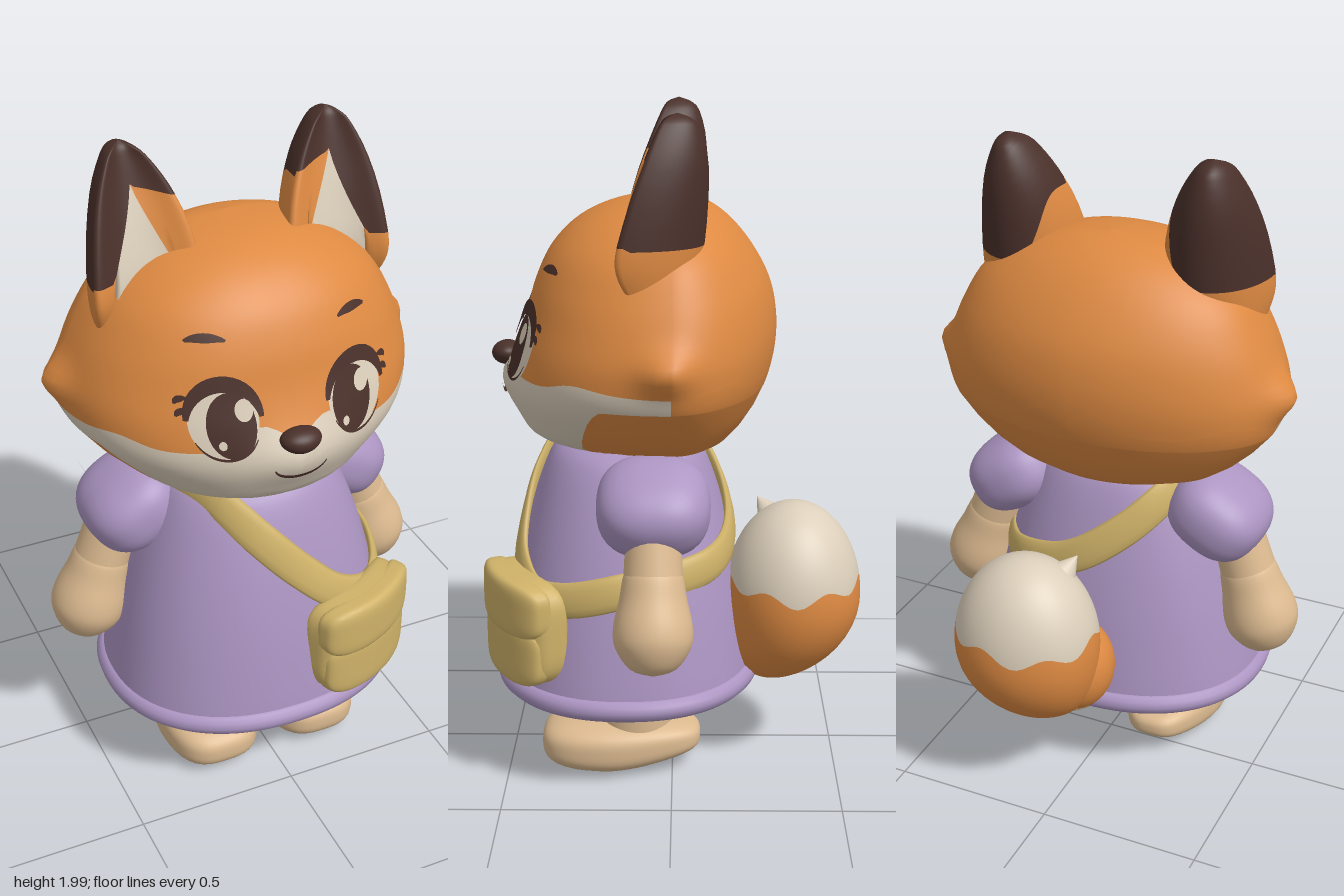
import * as THREE from 'three';

const V = (x, y, z) => new THREE.Vector3(x, y, z);
const smooth = THREE.MathUtils.smoothstep;
const power = (v, e) => Math.sign(v) * Math.abs(v) ** e;
const paint = (name, color, side = THREE.FrontSide) => {
  const m = new THREE.MeshStandardMaterial({ color, side });
  m.name = name;
  return m;
};

// Smooth profile through rows of [y, a, b, c, d]; at(t) gives the values, t(y) the parameter.
function profile(rows) {
  const curve = (i, j) => new THREE.CatmullRomCurve3(rows.map(r => V(r[i] || 0, r[0], r[j] || 0)), false, 'catmullrom', 0.5);
  const c1 = curve(1, 2), c2 = curve(3, 4);
  return {
    at(t) {
      const p = c1.getPoint(t), q = c2.getPoint(t);
      return [p.y, p.x, p.z, q.x, q.z];
    },
    t(y) {
      let lo = 0, hi = 1;
      for (let i = 0; i < 26; i++) {
        const m = (lo + hi) / 2;
        if (c1.getPoint(m).y < y) lo = m; else hi = m;
      }
      return lo;
    },
  };
}

// Surface wrapped around u, split into colour bands whose borders may vary with u.
function banded(name, nu, counts, limits, point, mats, pick = () => 0) {
  const pos = [], lists = mats.map(() => []), bandOf = [];
  counts.forEach((n, b) => { for (let i = 0; i < n; i++) bandOf.push([b, i / n]); });
  const cols = Array.from({ length: nu }, (_, j) => limits(j / nu * Math.PI * 2));
  for (let i = 0; i <= bandOf.length; i++) {
    const [b, f] = bandOf[i] || [counts.length - 1, 1];
    cols.forEach((l, j) => pos.push(...point(j / nu * Math.PI * 2, l[b] + (l[b + 1] - l[b]) * f).toArray()));
  }
  bandOf.forEach(([b], i) => {
    for (let j = 0; j < nu; j++) {
      const k = (j + 1) % nu, a = i * nu + j, c = i * nu + k;
      lists[pick(b, (j + 0.5) / nu * Math.PI * 2)].push(a, c, c + nu, a, c + nu, a + nu);
    }
  });
  const g = new THREE.BufferGeometry();
  g.setAttribute('position', new THREE.Float32BufferAttribute(pos, 3));
  g.setIndex(lists.flat());
  let start = 0;
  lists.forEach((l, m) => { g.addGroup(start, l.length, m); start += l.length; });
  g.computeVertexNormals();
  const mesh = new THREE.Mesh(g, mats);
  mesh.name = name;
  return mesh;
}

// Soft box: a sphere swollen towards its box by the power n, then bent by a rule.
function softBox(n, rx, ry, rz, bend = () => {}) {
  const g = new THREE.SphereGeometry(1, 48, 32), p = g.attributes.position, v = V(0, 0, 0);
  for (let i = 0; i < p.count; i++) {
    v.fromBufferAttribute(p, i);
    v.divideScalar((Math.abs(v.x) ** n + Math.abs(v.y) ** n + Math.abs(v.z) ** n) ** (1 / n)).multiply(V(rx, ry, rz));
    bend(v);
    p.setXYZ(i, v.x, v.y, v.z);
  }
  g.computeVertexNormals();
  return g;
}

export function createModel() {
  const root = new THREE.Group();
  root.name = 'foxCharacter';
  const orange = paint('orangeFur', 0xde8a42), cream = paint('creamFur', 0xdccfbb);
  const dark = paint('darkBrown', 0x4a302a, THREE.DoubleSide), tan = paint('tanFur', 0xdcba90);
  const purple = paint('purpleCloth', 0xac95c2, THREE.DoubleSide), gold = paint('goldLeather', 0xcfb269);
  const add = (name, geo, mat, x = 0, y = 0, z = 0, parent = root) => {
    const m = new THREE.Mesh(geo, mat);
    m.name = name;
    m.position.set(x, y, z);
    parent.add(m);
    return m;
  };

  // Head: rows of height, half width, front depth, back depth; plus a muzzle bump and cheek tufts
  const head = profile([[0.98, 0, 0, 0], [1.0, 0.2, 0.27, 0.12], [1.04, 0.34, 0.415, 0.18], [1.11, 0.43, 0.46, 0.235],
    [1.2, 0.51, 0.48, 0.28], [1.3, 0.53, 0.462, 0.305], [1.4, 0.508, 0.433, 0.307], [1.5, 0.465, 0.405, 0.285],
    [1.6, 0.4, 0.355, 0.23], [1.68, 0.29, 0.27, 0.16], [1.73, 0.15, 0.15, 0.08], [1.748, 0, 0, 0]]);
  const N = 2.2;
  const muzzle = (x, y) => 0.034 * Math.exp(-((x / 0.14) ** 2) - ((y - 1.2) / 0.09) ** 2);
  const away = u => Math.abs(u > Math.PI ? u - Math.PI * 2 : u);
  root.add(banded('head', 144, [6, 14, 28], u => {
    const a = away(u), x = Math.abs(0.5 * Math.sin(u));
    const low = 1.0 + 0.2 * smooth(a, 0.85, 1.2);
    const high = 1.245 + 0.065 * Math.exp(-(((x - 0.08) / 0.07) ** 2)) + 0.025 * Math.exp(-(((x - 0.42) / 0.06) ** 2));
    return [0, head.t(low), head.t(high), 1];
  }, (u, t) => {
    const [y, w, zf, zb] = head.at(t), c = Math.cos(u), s = Math.sin(u), e = c > 0 ? 2 / N : 1.06;
    const x = w * power(s, e), z = (c > 0 ? zf : zb) * power(c, e);
    const tuft = 0.045 * Math.exp(-(((y - 1.325) / 0.055) ** 2) - ((z - 0.01) / 0.075) ** 2);
    return V(x + Math.sign(s) * tuft, y, c > 0 ? z + muzzle(x, y) * smooth(c, 0, 0.4) : z);
  }, [orange, cream], (b, u) => (b === 1 && away(u) < 1.58 ? 1 : 0)));
  const faceZ = (x, y) => {
    const [, w, zf] = head.at(head.t(y));
    return zf * Math.max(0, 1 - Math.abs(x / w) ** N) ** (1 / N) + muzzle(x, y);
  };

  // Thin face details laid on the head surface
  const lay = (name, geo, mat, off) => {
    const p = geo.attributes.position;
    for (let i = 0; i < p.count; i++) p.setZ(i, faceZ(p.getX(i), p.getY(i)) + off);
    geo.computeVertexNormals();
    return add(name, geo, mat);
  };
  const disc = (name, mat, x, y, rx, ry, off) =>
    lay(name, new THREE.RingGeometry(0, 1, 32, 5).scale(rx, ry, 1).translate(x, y, 0), mat, off);
  const arc = (name, x, y, rx, ry, a0, a1, width, off) => {
    const g = new THREE.PlaneGeometry(1, 1, 20, 2), p = g.attributes.position;
    for (let i = 0; i < p.count; i++) {
      const f = p.getX(i) + 0.5, a = a0 + (a1 - a0) * f;
      const r = p.getY(i) * width * (0.3 + 0.7 * Math.sin(f * Math.PI));
      p.setXY(i, x + (rx + r) * Math.cos(a), y + (ry + r) * Math.sin(a));
    }
    return lay(name, g, dark, off);
  };
  for (const s of [1, -1]) {
    disc('eyeWhite', cream, s * 0.2, 1.335, 0.094, 0.105, 0.007);
    disc('iris', dark, s * 0.183, 1.325, 0.067, 0.092, 0.012);
    disc('eyeHighlight', cream, s * 0.183 + 0.035, 1.368, 0.025, 0.031, 0.017);
    disc('eyeGlint', cream, s * 0.183 - 0.03, 1.275, 0.011, 0.013, 0.017);
    arc('upperLashLine', s * 0.2, 1.335, 0.1, 0.107, Math.PI - 0.1, 0.1, 0.044, 0.016);
    arc('lowerLashLine', s * 0.2, 1.335, 0.093, 0.104, Math.PI + 0.5, Math.PI * 2 - 0.5, 0.008, 0.014);
    for (const [y, d] of [[1.365, 0.012], [1.405, 0.018]])
      arc('lash', s * 0.298, y - d, 0.024, 0.02, s > 0 ? 1.9 : 1.24, s > 0 ? 0.2 : 2.94, 0.018, 0.016);
    arc('eyebrow', s * 0.22, 1.524, 0.075, 0.032, Math.PI / 2 + 0.75, Math.PI / 2 - 0.75, 0.024, 0.007);
  }
  arc('mouth', 0, 1.195, 0.08, 0.042, Math.PI + 0.2, Math.PI * 2 - 0.2, 0.013, 0.007);
  add('nose', softBox(2, 0.06, 0.036, 0.046, v => { v.x *= 1 + 4 * v.y; }), dark, 0, 1.266, 0.499);

  // Ears: rows of height, outer edge, inner edge, front and back depth
  const ear = profile([[1.48, 0.43, 0.16, 0.11, -0.05], [1.6, 0.452, 0.13, 0.16, -0.085], [1.75, 0.437, 0.148, 0.125, -0.1],
    [1.87, 0.408, 0.19, 0.08, -0.1], [1.955, 0.37, 0.242, 0.042, -0.08], [1.985, 0.345, 0.275, 0.02, -0.055], [2.0, 0.31, 0.31, -0.015, -0.015]]);
  for (const s of [1, -1]) {
    root.add(banded('ear', 64, [12, 8, 12], u => {
      const x = Math.sin(s * u), inFront = Math.cos(u) > 0;
      const pale = inFront && Math.abs(x) < 0.62 ? 1.89 - 0.4 * Math.abs(x) : 1.48;
      const tipLine = inFront ? (x > 0 ? 1.65 : 1.885 - 0.03 * Math.abs(x)) : 1.64 + 0.2 * smooth(-x, 0.2, 1);
      return [0, ear.t(pale), ear.t(Math.max(pale, tipLine)), 1];
    }, (u, t) => {
      const [y, xo, xi, zf, zb] = ear.at(t), x = Math.sin(s * u), c = Math.cos(u), d = zf - zb;
      const z = zf - d * (c > 0 ? 0.1 + 0.1 * c - 0.12 * Math.sin(Math.PI * c) : 0.1 - 0.9 * c);
      return V(s * ((xo + xi) / 2 + (xo - xi) / 2 * x), y, z);
    }, [cream, orange, dark], b => b));
  }

  // Dress: open flared skirt with a rolled hem
  const dress = profile([[0.3, 0.452], [0.39, 0.438], [0.55, 0.408], [0.71, 0.368], [0.85, 0.322], [0.95, 0.278], [1.0, 0.235], [1.03, 0.16]]);
  const CZ = 0.14, SQ = 0.86;
  const onDress = (u, t) => {
    const [y, r] = dress.at(t);
    return V(r * power(Math.sin(u), 0.9), y, CZ + r * SQ * power(Math.cos(u), 0.9));
  };
  root.add(banded('dress', 64, [24], () => [0, 1], onDress, [purple]));
  const hemLine = Array.from({ length: 32 }, (_, i) => onDress(i / 16 * Math.PI, dress.t(0.39)).setY(0.294));
  add('hem', new THREE.TubeGeometry(new THREE.CatmullRomCurve3(hemLine, true), 96, 0.034, 12, true), purple);

  // Arms with puffed sleeves, legs and feet
  const handShape = new THREE.SplineCurve([[0, -0.39], [0.065, -0.37], [0.108, -0.31], [0.114, -0.25], [0.097, -0.17],
    [0.084, -0.1], [0.06, -0.09]].map(p => new THREE.Vector2(...p))).getPoints(24);
  for (const s of [1, -1]) {
    const sleeve = add('sleeve', softBox(2.5, 0.155, 0.12, 0.165), purple, s * 0.34, 0.888, 0.053);
    sleeve.rotation.z = -s * 0.55;
    const arm = new THREE.Group();
    arm.name = 'arm';
    arm.position.set(s * 0.403, 0.81, 0.052);
    arm.rotation.z = s * 0.31;
    root.add(arm);
    add('upperArm', new THREE.CylinderGeometry(0.078, 0.087, 0.2, 28), tan, 0, -0.05, 0, arm);
    add('hand', new THREE.LatheGeometry(handShape, 28), tan, 0, 0, 0, arm);

    add('leg', new THREE.CylinderGeometry(0.118, 0.112, 0.36, 32), tan, s * 0.17, 0.28, 0.112);
    add('foot', softBox(3, 0.15, 0.08, 0.243, v => {
      const heel = smooth(-v.z, -0.05, 0.24);
      v.x *= 1 - 0.25 * heel;
      v.y = v.y * (1 - 0.25 * heel) + 0.015 * heel;
    }), tan, s * 0.17, 0.085, 0.157);
  }

  // Shoulder strap: closed loop of [angle, height] around the dress
  const path = new THREE.CatmullRomCurve3([[-0.7, 0.99], [-0.21, 0.89], [0.09, 0.765], [0.38, 0.66], [0.75, 0.6], [1.1, 0.605],
    [1.57, 0.645], [2.4, 0.685], [3.0, 0.74], [3.45, 0.86], [3.95, 0.96], [4.7, 1.0]]
    .map(([a, y]) => onDress(a, dress.t(y))), true);
  root.add(banded('strap', 12, [140], () => [0, 1], (u, t) => {
    const c = path.getPoint(t % 1), T = path.getTangent(t % 1);
    const n = V(c.x, 0.05, (c.z - CZ) / SQ).normalize();
    const b = T.clone().cross(n).normalize();
    return c.addScaledVector(n, 0.008 + 0.016 * Math.cos(u)).addScaledVector(b, 0.053 * Math.sin(u));
  }, [gold]));

  // Bag, curved around the skirt
  const bag = new THREE.Group();
  bag.name = 'bag';
  bag.position.set(0.252, 0.5, 0.464);
  bag.rotation.y = 0.46;
  root.add(bag);
  const pouch = (name, rx, ry, rz, y, z) =>
    add(name, softBox(4.5, rx, ry, rz, v => { v.z -= 1.2 * v.x * v.x; }), gold, 0, y, z, bag);
  pouch('bagBody', 0.195, 0.16, 0.065, 0, 0);
  pouch('bagPocket', 0.188, 0.097, 0.035, -0.062, 0.036);
  pouch('bagFlap', 0.196, 0.085, 0.042, 0.075, 0.036);

  // Tail: plump ellipsoid with a pale, jagged-edged top and a tip curled towards the back
  root.add(banded('tail', 64, [16, 16], u => [-Math.PI / 2, 0.17 + 0.06 * Math.sin(7 * u) + 0.03 * Math.sin(3 * u), Math.PI / 2],
    (u, t) => {
      const low = Math.max(0, -Math.sin(t)) ** 2, r = Math.cos(t);
      return V(0.112 - 0.03 * low + 0.225 * r * Math.sin(u), 0.545 + 0.285 * Math.sin(t), -0.368 + 0.07 * low + 0.205 * r * Math.cos(u));
    }, [orange, cream], b => b));
  add('tailRoot', softBox(2, 0.125, 0.15, 0.125), orange, -0.005, 0.44, -0.285);
  const tip = add('tailTip', new THREE.ConeGeometry(0.13, 0.2, 28), cream, 0.035, 0.74, -0.315);
  tip.quaternion.setFromUnitVectors(V(0, 1, 0), V(-0.42, 0.7, 0.55).normalize());
  return root;
}
